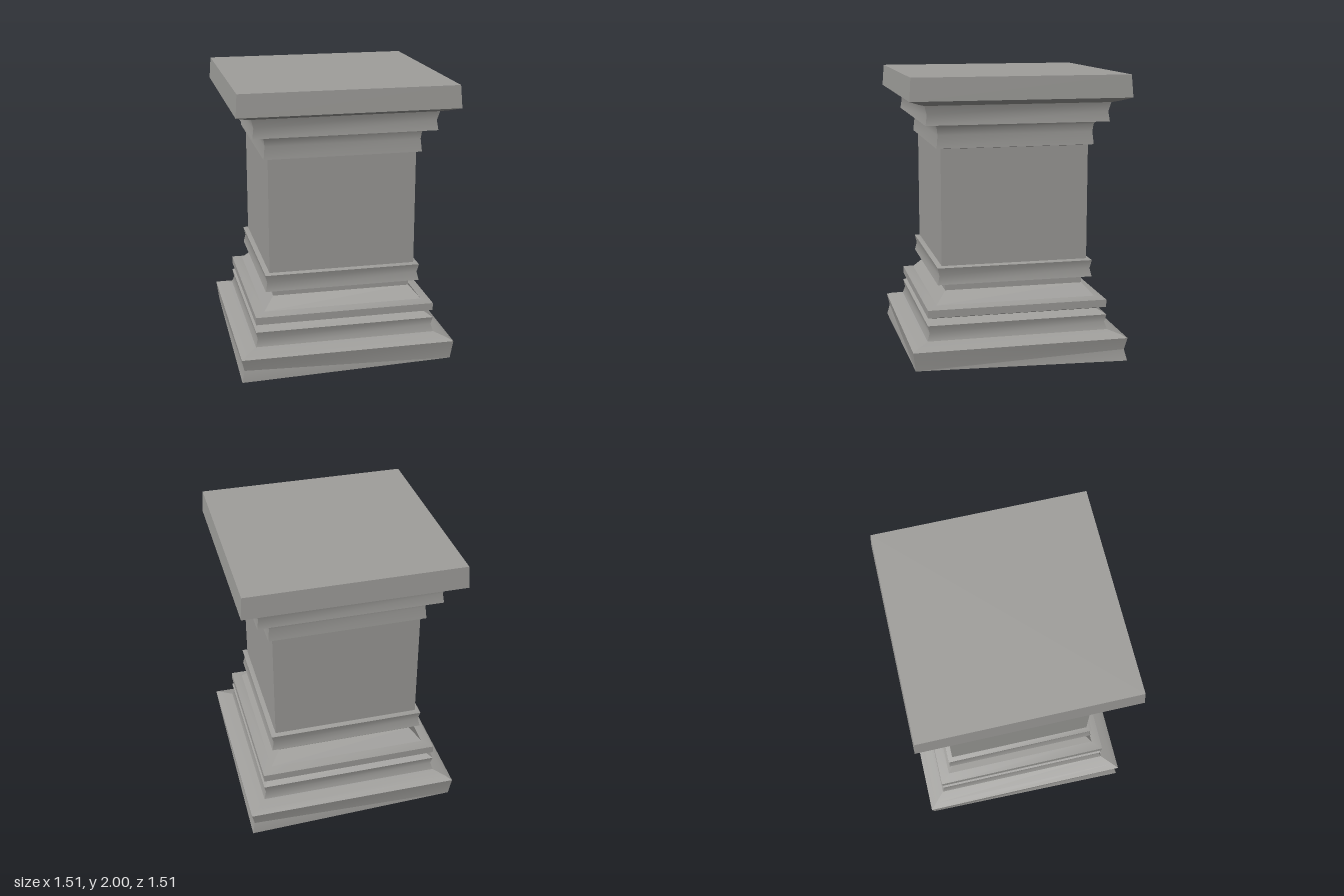
import * as THREE from 'three';
import { toCreasedNormals } from 'three/addons/utils/BufferGeometryUtils.js';

const material = new THREE.MeshStandardMaterial({ color: 0x9f9e9b });

// Square ring of half-width r at height y; alternate corners may differ (r2, y2).
function ring([r, y, r2 = r, y2 = y]) {
  return [[-r, y, r], [r2, y2, r2], [r, y, -r], [-r2, y2, -r2]];
}

// Lofts square rings from bottom to top, optionally closing the ends.
function squareLoft(name, profile, { bottom = false, top = false, crease = 0.55 } = {}) {
  const rings = profile.map(ring);
  const positions = [];
  const tri = (a, b, c) => positions.push(...a, ...b, ...c);
  for (let i = 0; i < rings.length - 1; i++) {
    const lo = rings[i], hi = rings[i + 1];
    for (let k = 0; k < 4; k++) {
      const n = (k + 1) % 4;
      tri(lo[k], lo[n], hi[n]);
      tri(lo[k], hi[n], hi[k]);
    }
  }
  if (bottom) {
    const [a, b, c, d] = rings[0];
    tri(a, c, b);
    tri(a, d, c);
  }
  if (top) {
    const [a, b, c, d] = rings[rings.length - 1];
    tri(a, b, c);
    tri(a, c, d);
  }
  const geometry = new THREE.BufferGeometry();
  geometry.setAttribute('position', new THREE.Float32BufferAttribute(positions, 3));
  const mesh = new THREE.Mesh(toCreasedNormals(geometry, crease), material);
  mesh.name = name;
  return mesh;
}

export function createModel() {
  const group = new THREE.Group();
  group.name = 'pedestal';
  group.add(
    // Plinth with two slightly raised opposite corners underneath
    squareLoft('plinth', [
      [0.755, 0, 0.738, 0.032], [0.736, 0.08, 0.738, 0.034],
      [0.755, 0.165], [0.715, 0.183], [0.64, 0.203],
    ], { bottom: true, crease: 0.3 }),
    // Hollowed band and the groove above it
    squareLoft('lowerMoulding', [
      [0.64, 0.203], [0.624, 0.255], [0.636, 0.31], [0.577, 0.345],
    ]),
    // Thin flat band with a sloped roof up to the neck
    squareLoft('baseBand', [
      [0.577, 0.345], [0.634, 0.365], [0.634, 0.418], [0.565, 0.432],
      [0.49, 0.515], [0.49, 0.57],
    ]),
    // Overhanging hollowed collar under the shaft
    squareLoft('shaftCollar', [
      [0.49, 0.57], [0.55, 0.57], [0.537, 0.63], [0.55, 0.688], [0.517, 0.696],
    ]),
    squareLoft('shaft', [[0.517, 0.696], [0.517, 1.505]]),
    // Two stepped, hollowed mouldings under the cap
    squareLoft('neckMoulding', [
      [0.517, 1.505], [0.549, 1.511], [0.54, 1.6], [0.546, 1.65], [0.559, 1.676],
    ]),
    squareLoft('upperMoulding', [
      [0.559, 1.676], [0.634, 1.676], [0.624, 1.745], [0.64, 1.808],
    ]),
    // Flared cap slab
    squareLoft('cap', [
      [0.64, 1.808], [0.69, 1.822], [0.755, 1.846], [0.744, 2],
    ], { top: true }),
  );
  return group;
}
